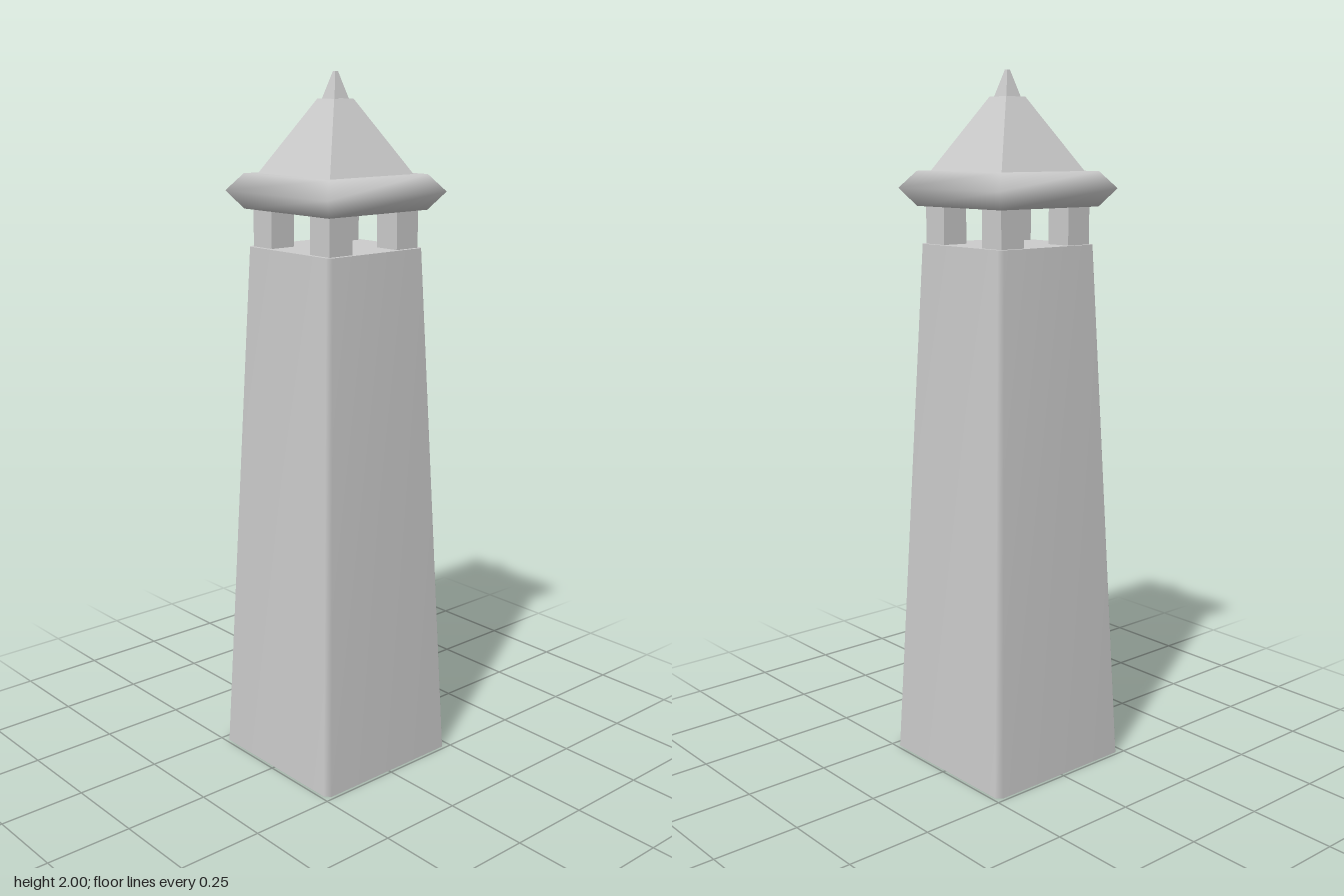
import * as THREE from 'three';

const grey = new THREE.MeshStandardMaterial({ color: 0xcccccc });
const greyDouble = new THREE.MeshStandardMaterial({ color: 0xcccccc, side: THREE.DoubleSide });
const greyFlat = new THREE.MeshStandardMaterial({ color: 0xcccccc, flatShading: true });

function add(group, name, geometry, material) {
  const mesh = new THREE.Mesh(geometry, material);
  mesh.name = name;
  group.add(mesh);
  return mesh;
}

// Square cross-section (half width h), corners cut by c when c > 0
function section(h, c) {
  const a = h - c;
  return c > 0
    ? [[h, -a], [h, a], [a, h], [-a, h], [-h, a], [-h, -a], [-a, -h], [a, -h]]
    : [[h, -h], [h, h], [-h, h], [-h, -h]];
}

// Smooth skin through square sections [y, halfWidth, cut]; optional end caps share its vertices
function loft(levels, capped) {
  const positions = [], index = [];
  const n = section(levels[0][1], levels[0][2]).length;
  for (const [y, h, c] of levels) {
    for (const [x, z] of section(h, c)) positions.push(x, y, z);
  }
  for (let l = 0; l < levels.length - 1; l++) {
    for (let i = 0; i < n; i++) {
      const a = l * n + i, b = l * n + (i + 1) % n;
      index.push(a, a + n, b, b, a + n, b + n);
    }
  }
  if (capped) {
    const top = (levels.length - 1) * n;
    for (let i = 1; i < n - 1; i++) {
      index.push(0, i, i + 1, top, top + i + 1, top + i);
    }
  }
  const geometry = new THREE.BufferGeometry();
  geometry.setAttribute('position', new THREE.Float32BufferAttribute(positions, 3));
  geometry.setIndex(index);
  geometry.computeVertexNormals();
  return geometry;
}

// Four-sided frustum with half widths at the bottom and top
function frustum(bottom, top, y0, y1) {
  return new THREE.CylinderGeometry(top * Math.SQRT2, bottom * Math.SQRT2, y1 - y0, 4)
    .rotateY(Math.PI / 4)
    .translate(0, (y0 + y1) / 2, 0);
}

export function createModel() {
  const tower = new THREE.Group();
  tower.name = 'tower';

  // Hollow tapered shaft with narrow corner bevels, open underneath
  add(tower, 'shaft', loft([[0, 0.24, 0.016], [1.525, 0.175, 0.012]], false), greyDouble);

  // Deck closing the top of the shaft
  const deck = new THREE.Shape(section(0.175, 0.012).map(([x, z]) => new THREE.Vector2(x, z)));
  add(tower, 'deck', new THREE.ShapeGeometry(deck).rotateX(-Math.PI / 2).translate(0, 1.525, 0), greyDouble);

  // Four corner posts
  for (const sx of [-1, 1]) {
    for (const sz of [-1, 1]) {
      const post = add(tower, 'post', new THREE.BoxGeometry(0.08, 0.115, 0.08), grey);
      post.position.set(sx * 0.122, 1.5825, sz * 0.122);
    }
  }

  // Softly shaded eave, widest at mid height
  add(tower, 'eave', loft([[1.63, 0.18, 0], [1.68, 0.217, 0], [1.727, 0.18, 0]], true), grey);

  // Pyramid roof and finial
  add(tower, 'roof', frustum(0.152, 0.035, 1.727, 1.928), greyFlat);
  add(tower, 'finial', frustum(0.026, 0.005, 1.928, 2), greyFlat);

  return tower;
}
